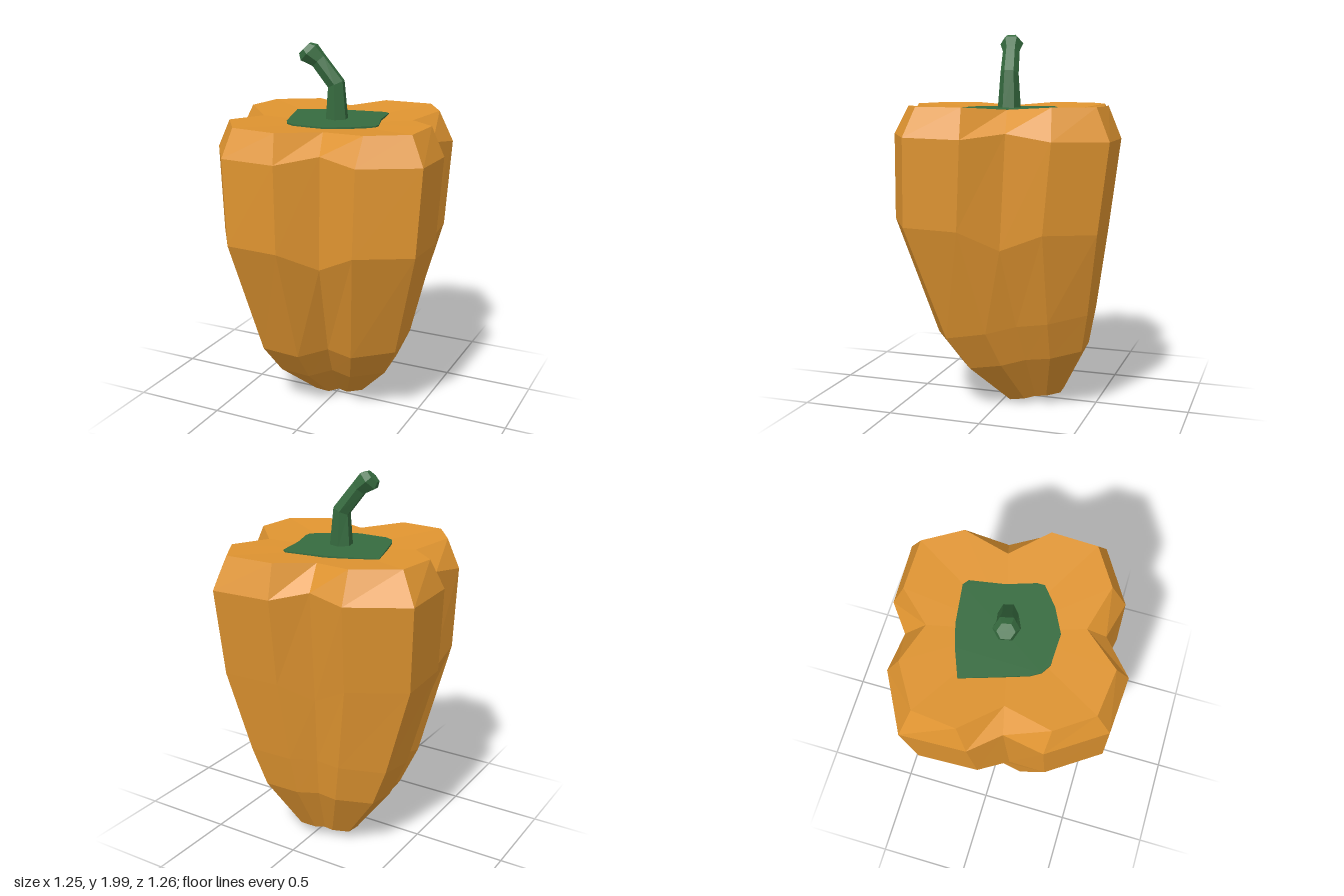
import * as THREE from 'three';

const orange = new THREE.MeshStandardMaterial({ color: 0xdf9430, flatShading: true });
orange.name = 'orange skin';
const green = new THREE.MeshStandardMaterial({ color: 0x366b3f, flatShading: true });
green.name = 'stem green';

// Widest outline [x, z]: four lobes of four points, every third point is a groove
const WIDE = [
  [-0.63, -0.37], [-0.33, -0.53], [-0.13, -0.50], [0.03, -0.62],
  [0.36, -0.63], [0.52, -0.38], [0.49, -0.14], [0.62, -0.05 + 0.1],
  [0.62, 0.35], [0.34, 0.52], [0.13, 0.47], [-0.04, 0.63],
  [-0.34, 0.61], [-0.53, 0.33], [-0.50, 0.12], [-0.62, -0.03],
];
// Outline of the shoulder edge at the top
const SHOULDER = [
  [-0.54, -0.32], [-0.32, -0.455], [-0.10, -0.39], [0.05, -0.555],
  [0.325, -0.555], [0.445, -0.36], [0.385, -0.115], [0.555, 0.065],
  [0.545, 0.31], [0.345, 0.435], [0.10, 0.37], [-0.07, 0.56],
  [-0.32, 0.53], [-0.45, 0.345], [-0.39, 0.095], [-0.565, -0.09],
];
// Edge of the flat green calyx
const CALYX = [
  [-0.32, -0.16], [-0.17, -0.22], [-0.05, -0.255], [0.16, -0.283], [0.19, -0.26],
  [0.22, -0.08], [0.27, 0.07], [0.27, 0.11], [0.17, 0.19], [0.04, 0.255],
  [-0.13, 0.25], [-0.18, 0.22], [-0.21, 0.17], [-0.25, 0.05],
];

// Skins rings listed from bottom to top and closes both ends with fans
function loft(rings, bottom, top) {
  const pos = [];
  const tri = (...pts) => pts.forEach((p) => pos.push(p.x, p.y, p.z));
  const n = rings[0].length;
  for (let i = 0; i < n; i++) {
    const j = (i + 1) % n;
    for (let k = 0; k < rings.length - 1; k++) {
      const lo = rings[k], hi = rings[k + 1];
      tri(lo[j], lo[i], hi[i]);
      tri(lo[j], hi[i], hi[j]);
    }
    tri(bottom, rings[0][i], rings[0][j]);
    const last = rings[rings.length - 1];
    tri(top, last[j], last[i]);
  }
  const geo = new THREE.BufferGeometry();
  geo.setAttribute('position', new THREE.Float32BufferAttribute(pos, 3));
  geo.computeVertexNormals();
  return geo;
}

function makeBody() {
  // scale, x shift, z shift, height, tilt along z, extra groove height
  const levels = [
    [0.27, -0.03, -0.145, 0.01, -0.17, 0],
    [0.58, -0.02, -0.095, 0.26, -0.18, 0],
    [0.72, -0.01, -0.05, 0.46, -0.19, 0],
    [0.955, 0.005, 0.03, 1.01, 0.03, -0.1],
    [1, 0, 0, 1.465, 0.02, 0.03],
  ];
  const rings = levels.map(([s, dx, dz, y, tilt, groove]) => WIDE.map(([x, z], i) => {
    const pz = z * s + dz;
    return new THREE.Vector3(x * s + dx, y + tilt * pz + (i % 4 === 2 ? groove : 0), pz);
  }));
  rings.push(SHOULDER.map(([x, z], i) => new THREE.Vector3(x, i % 4 === 2 ? 1.605 : 1.62, z)));
  return loft(rings, new THREE.Vector3(-0.03, 0.035, -0.145), new THREE.Vector3(0, 1.575, 0));
}

function makeCalyx() {
  const shape = new THREE.Shape(CALYX.map(([x, z]) => new THREE.Vector2(x, -z)));
  const geo = new THREE.ExtrudeGeometry(shape, { depth: 0.009, bevelEnabled: false });
  return geo.rotateX(-Math.PI / 2).translate(0, 1.595, 0);
}

function makeStem() {
  // centre x, y, z, radius, then the direction the ring faces
  const stations = [
    [0, 1.59, 0, 0.063, 0, 1, 0],
    [-0.004, 1.785, 0, 0.049, -0.45, 1, 0.05],
    [-0.095, 1.905, 0.02, 0.046, -0.7, 0.8, 0.2],
    [-0.145, 1.946, 0.033, 0.063, -0.7, 0.75, 0.2],
    [-0.167, 1.968, 0.038, 0.043, -0.7, 0.75, 0.2],
  ];
  const up = new THREE.Vector3(0, 1, 0);
  const rings = stations.map(([x, y, z, r, ...dir]) => {
    const q = new THREE.Quaternion().setFromUnitVectors(up, new THREE.Vector3(...dir).normalize());
    return Array.from({ length: 6 }, (_, i) => {
      const a = (i / 6) * Math.PI * 2 + 0.3;
      return new THREE.Vector3(Math.cos(a) * r, 0, Math.sin(a) * r)
        .applyQuaternion(q).add(new THREE.Vector3(x, y, z));
    });
  });
  const centre = (s) => new THREE.Vector3(s[0], s[1], s[2]);
  return loft(rings, centre(stations[0]), centre(stations[4]));
}

export function createModel() {
  const group = new THREE.Group();
  group.name = 'bellPepper';
  const add = (name, geo, mat) => {
    const mesh = new THREE.Mesh(geo, mat);
    mesh.name = name;
    group.add(mesh);
  };
  add('body', makeBody(), orange);
  add('calyx', makeCalyx(), green);
  add('stem', makeStem(), green);
  return group;
}
